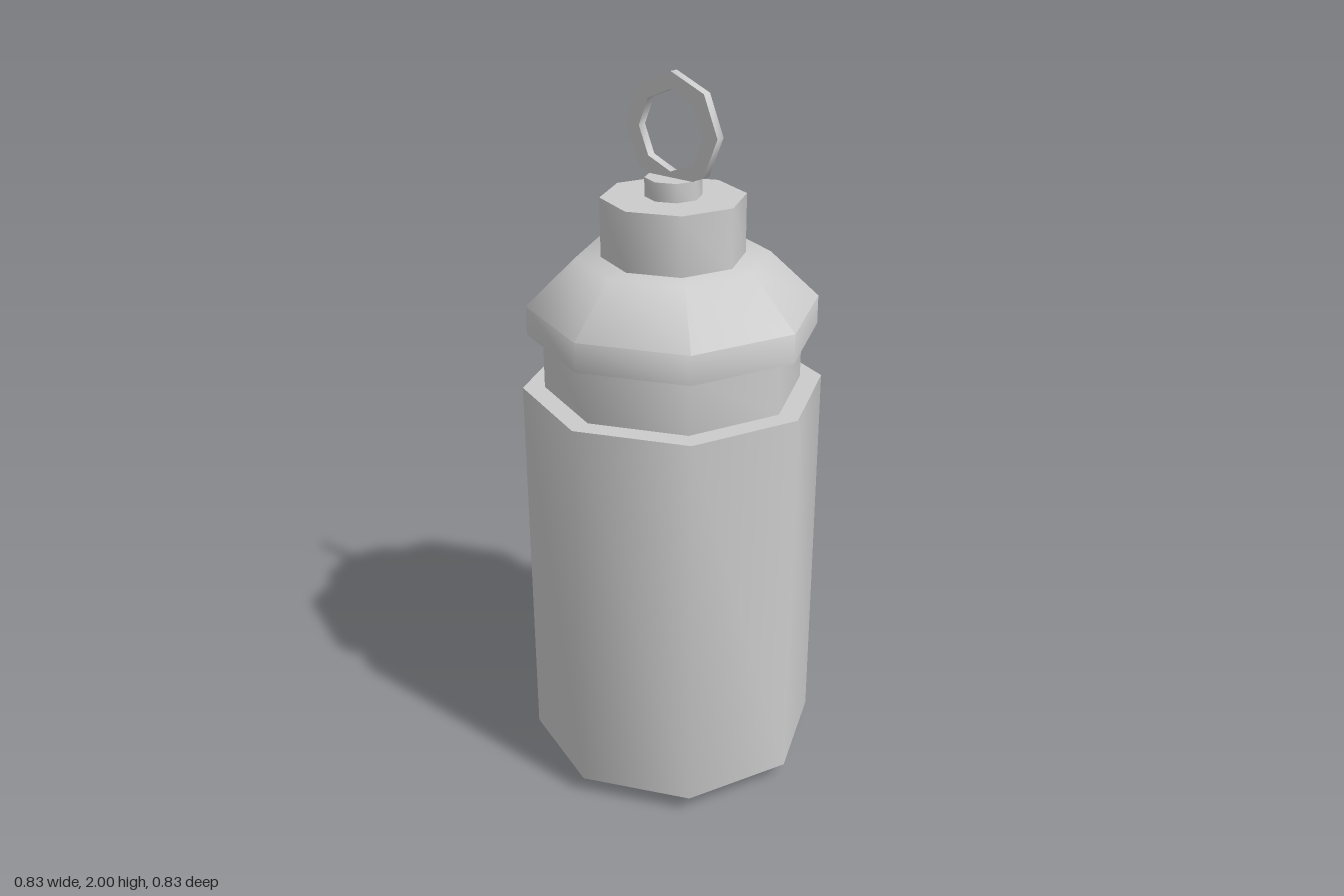
import * as THREE from 'three';
import { toCreasedNormals } from 'three/addons/utils/BufferGeometryUtils.js';

const SIDES = 8;
const CREASE = THREE.MathUtils.degToRad(52);

// Eight-sided turned part from [radius, height] pairs, running up the outside
function turned(name, material, profile) {
  const points = profile.map(([r, y]) => new THREE.Vector2(r, y));
  const geometry = toCreasedNormals(new THREE.LatheGeometry(points, SIDES), CREASE);
  const mesh = new THREE.Mesh(geometry, material);
  mesh.name = name;
  return mesh;
}

// Closed straight-sided drum
const drum = (r, y0, y1) => [[0, y0], [r, y0], [r, y1], [0, y1]];

export function createModel() {
  const group = new THREE.Group();
  group.name = 'bottle';
  const grey = new THREE.MeshStandardMaterial({ color: 0xcccccc });

  // Main container with a chamfered base
  group.add(turned('body', grey, [[0, 0], [0.335, 0], [0.413, 0.05], [0.413, 1.155], [0, 1.155]]));

  // Recessed neck under the cap
  group.add(turned('neck', grey, drum(0.353, 1.15, 1.315)));

  // Wide cap with a sloped shoulder
  group.add(turned('cap', grey, [[0, 1.31], [0.395, 1.31], [0.395, 1.39], [0.26, 1.52], [0, 1.52]]));

  // Stacked lid and ring mount
  group.add(turned('lid', grey, drum(0.193, 1.515, 1.68)));
  group.add(turned('ringMount', grey, drum(0.076, 1.675, 1.73)));

  // Flat carrying ring standing upright, facing sideways
  const [inner, outer, half] = [0.105, 0.15, 0.0125];
  const ring = turned('carryRing', grey, [
    [inner, -half], [outer, -half], [outer, half], [inner, half], [inner, -half],
  ]);
  ring.rotation.z = Math.PI / 2;
  ring.position.y = 1.85;
  group.add(ring);

  return group;
}
